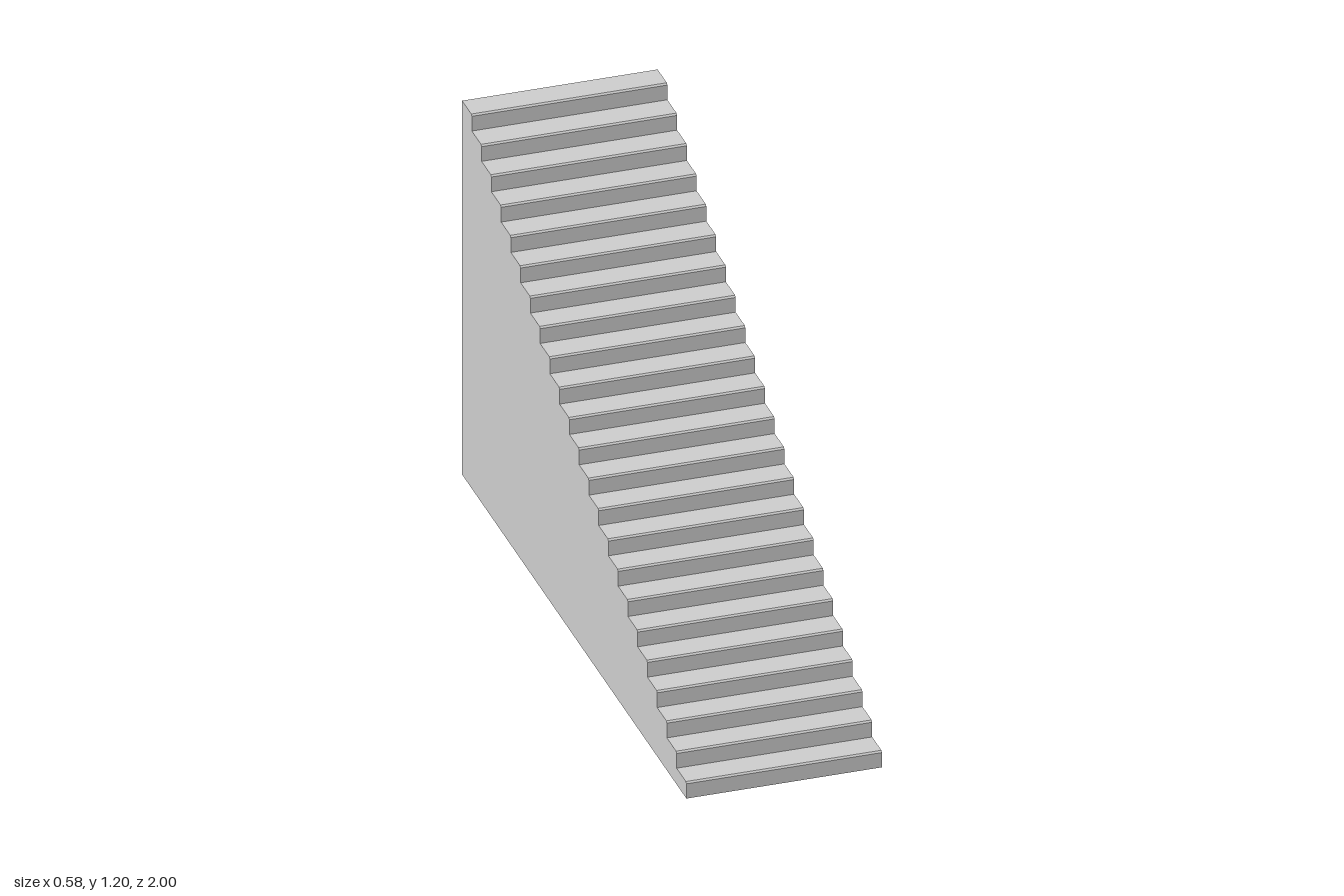
import * as THREE from 'three';

const STEPS = 23, LENGTH = 2, HEIGHT = 1.2, WIDTH = 0.58, BEVEL = 0.005;

export function createModel() {
  const group = new THREE.Group();
  group.name = 'staircase';

  // side profile: horizontal axis runs from the front (-1) to the back (+1)
  const run = LENGTH / STEPS, rise = HEIGHT / STEPS;
  const profile = new THREE.Shape();
  profile.moveTo(LENGTH / 2, 0);
  profile.lineTo(LENGTH / 2, HEIGHT);
  for (let i = STEPS - 1; i >= 0; i--) {
    const front = -LENGTH / 2 + i * run, top = (i + 1) * rise;
    // tread, small bevelled nosing, riser
    profile.lineTo(front + BEVEL, top);
    profile.lineTo(front, top - BEVEL);
    profile.lineTo(front, top - rise);
  }
  profile.closePath();

  // extrude across the width and turn the low end to the front
  const geometry = new THREE.ExtrudeGeometry(profile, { depth: WIDTH, bevelEnabled: false });
  geometry.translate(0, 0, -WIDTH / 2);
  geometry.rotateY(Math.PI / 2);

  const stairs = new THREE.Mesh(geometry, new THREE.MeshStandardMaterial({ color: 0xcccccc }));
  stairs.name = 'solidStairs';
  group.add(stairs);
  return group;
}
